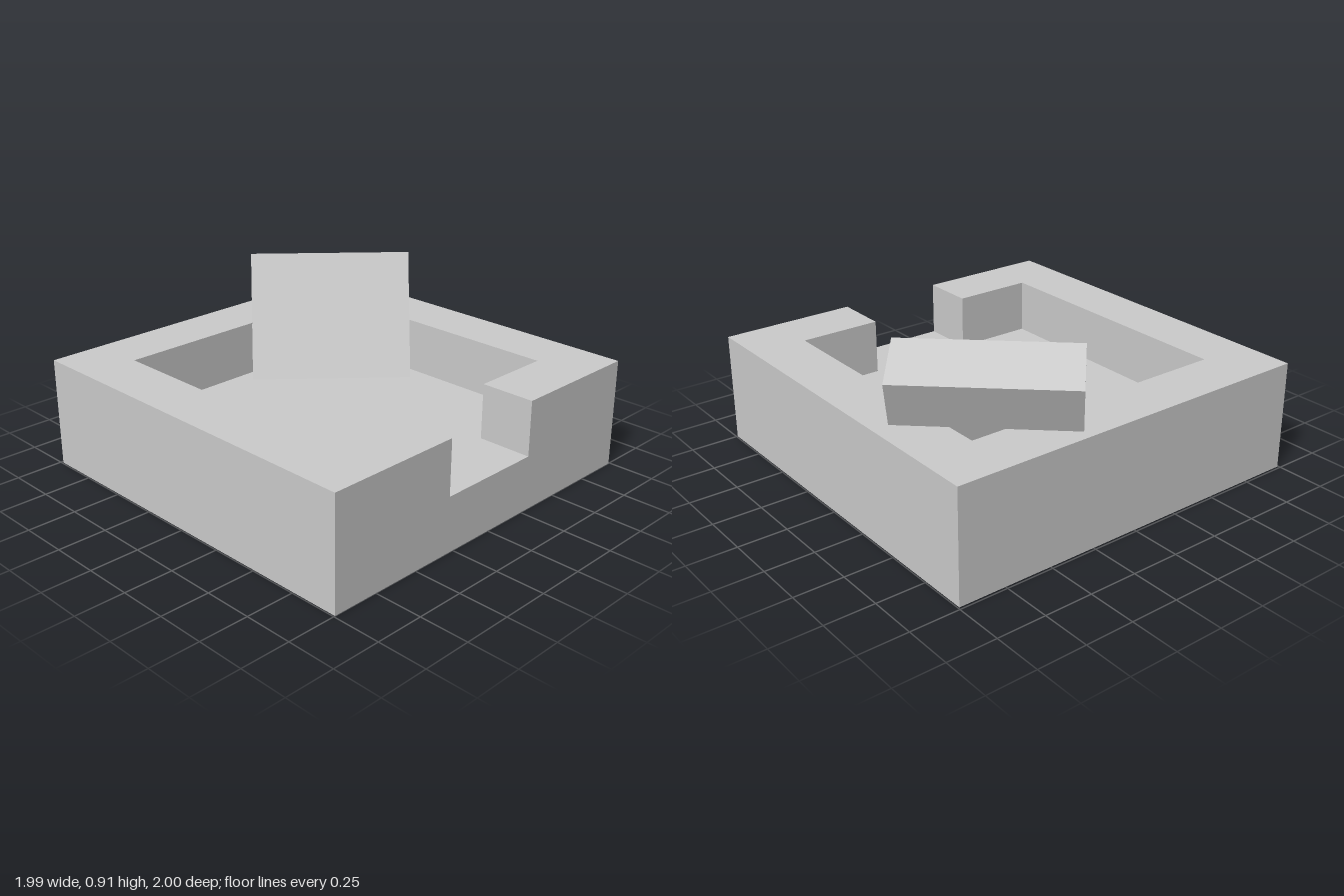
import * as THREE from 'three';
import { mergeGeometries } from 'three/addons/utils/BufferGeometryUtils.js';

const U = 0.2838;                  // module size: the base is 7 x 2 x 7 units
const R = 3.5 * U, P = 2.5 * U, N = U; // half widths of base, pocket and doorway
const H = 2 * U, F = U;            // rim and floor heights

const face = (points) =>
  new THREE.ShapeGeometry(new THREE.Shape(points.map(([x, y]) => new THREE.Vector2(x, y))));

// Horizontal face from an outline in (x, -z)
const level = (points, y) => face(points).rotateX(-Math.PI / 2).translate(0, y, 0);

// Vertical rectangle on the line a -> b in (x, z); faces right of the travel direction
function wall([ax, az], [bx, bz], y0, y1) {
  const g = new THREE.PlaneGeometry(Math.hypot(bx - ax, bz - az), y1 - y0);
  g.rotateY(Math.atan2(az - bz, bx - ax));
  return g.translate((ax + bx) / 2, (y0 + y1) / 2, (az + bz) / 2);
}

// One closed shell: block with a sunken square floor and a doorway in front
function baseGeometry() {
  // pocket outline in (x, -z), from the left door post round the back to the other
  const pocket = [[N, -R], [N, -P], [P, -P], [P, P], [-P, P], [-P, -P], [-N, -P], [-N, -R]];
  const outer = [[-R, -R], [R, -R], [R, R], [-R, R]];
  const parts = [
    level(outer, 0).rotateZ(Math.PI),                                  // underside
    level(pocket, F),                                                  // floor
    level([[R, -R], [R, R], [-R, R], [-R, -R], ...pocket.slice().reverse()], H), // rim
    face([[-R, 0], [R, 0], [R, H], [N, H], [N, F], [-N, F], [-N, H], [-R, H]]).translate(0, 0, R),
    wall([R, R], [R, -R], 0, H),
    wall([R, -R], [-R, -R], 0, H),
    wall([-R, -R], [-R, R], 0, H),
  ];
  // inner walls
  for (let i = 0; i < pocket.length - 1; i++) {
    const [a, b] = [pocket[i], pocket[i + 1]];
    parts.push(wall([b[0], -b[1]], [a[0], -a[1]], F, H));
  }
  return mergeGeometries(parts);
}

export function createModel() {
  const group = new THREE.Group();
  const material = new THREE.MeshStandardMaterial({ color: 0xcccccc, flatShading: true });

  const base = new THREE.Mesh(baseGeometry(), material);
  base.name = 'base';
  base.position.z = 0.0066;
  group.add(base);

  // Slab leaning back across the rear left corner, hung from the centre of its top face
  const length = 0.71;
  const slab = new THREE.Mesh(new THREE.BoxGeometry(3 * U, length, U).translate(0, -length / 2, 0), material);
  slab.name = 'leaningSlab';
  slab.rotation.order = 'YXZ';
  slab.rotation.set(-Math.PI / 8, THREE.MathUtils.degToRad(-42.4), 0);
  slab.position.set(0.57, 0.857, -0.62);
  group.add(slab);

  return group;
}
